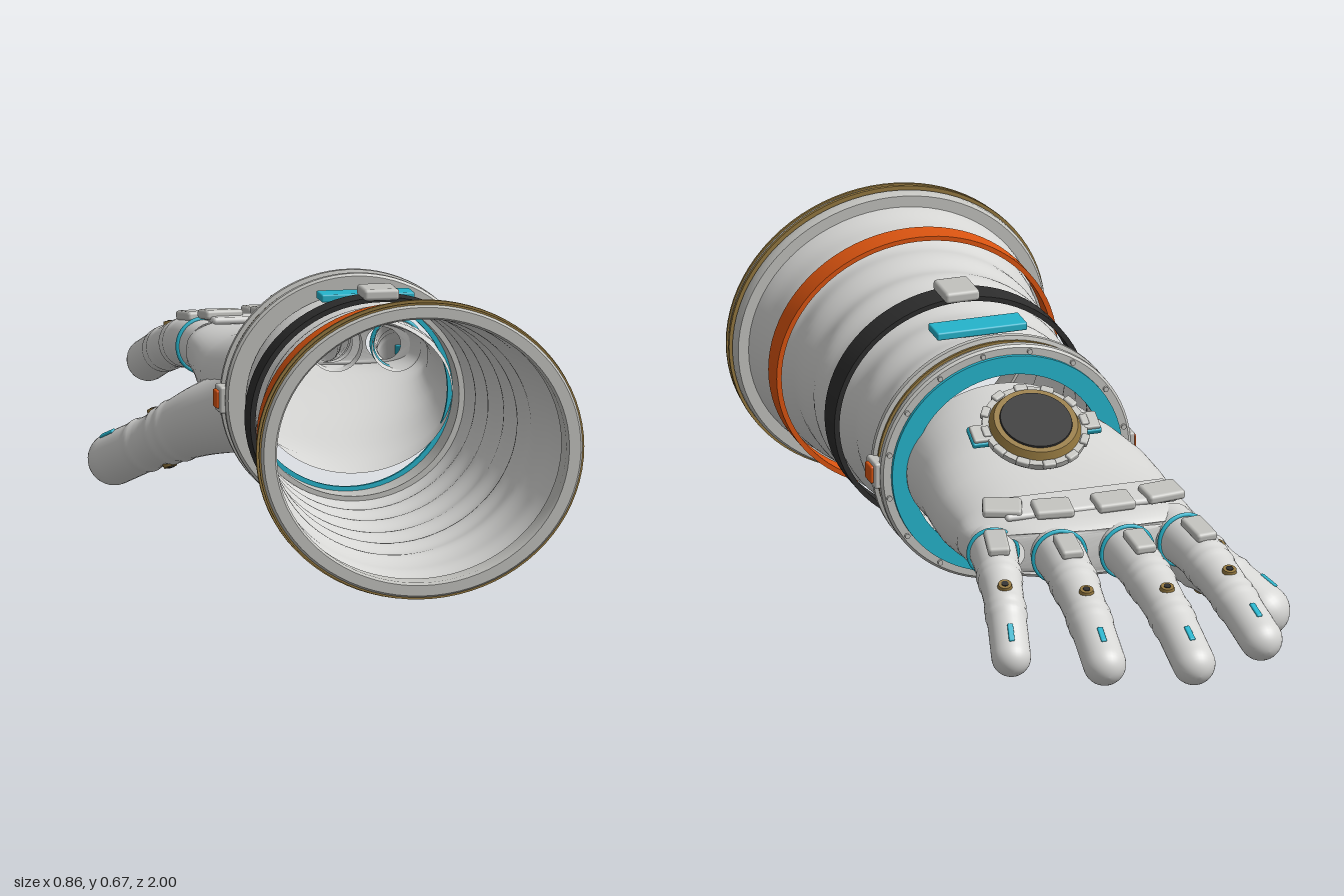
import * as THREE from 'three';
import { toCreasedNormals } from 'three/addons/utils/BufferGeometryUtils.js';
import { RoundedBoxGeometry } from 'three/addons/geometries/RoundedBoxGeometry.js';

const CX = 0.062, CY = 0.34; // axis of the sleeve
const V = (x, y, z) => new THREE.Vector3(x, y, z);

function material(name, color, side = THREE.FrontSide) {
  const m = new THREE.MeshStandardMaterial({ color, side });
  m.name = name;
  return m;
}

// Skin a list of closed loops; each loop is an array of Vector3
function loft(loops) {
  const n = loops[0].length, pos = [], idx = [];
  loops.forEach(l => l.forEach(p => pos.push(p.x, p.y, p.z)));
  for (let i = 0; i < loops.length - 1; i++) for (let j = 0; j < n; j++) {
    const a = i * n + j, b = i * n + (j + 1) % n;
    idx.push(a, b, a + n, b, b + n, a + n);
  }
  const g = new THREE.BufferGeometry();
  g.setAttribute('position', new THREE.Float32BufferAttribute(pos, 3));
  g.setIndex(idx);
  g.computeVertexNormals();
  return g;
}

// Rounded outline in the xy plane, running clockwise seen from +z
function outline(z, x0, x1, y0, y1, power, n = 64) {
  const e = 2 / power, s = v => Math.sign(v) * Math.abs(v) ** e;
  return Array.from({ length: n }, (_, i) => {
    const a = i / n * Math.PI * 2;
    return V((x0 + x1) / 2 + (x1 - x0) / 2 * s(Math.cos(a)), (y0 + y1) / 2 - (y1 - y0) / 2 * s(Math.sin(a)), z);
  });
}

export function createModel() {
  const root = new THREE.Group();
  root.name = 'spaceGlove';
  const fabric = material('white fabric', 0xd6d6d4, THREE.DoubleSide);
  const metal = material('light grey metal', 0xc2c2be);
  const orange = material('orange', 0xdb5410);
  const black = material('black strap', 0x2d2d2d);
  const cyan = material('cyan', 0x25b4cc);
  const bronze = material('bronze', 0x94783f);

  const add = (name, geo, mat, x = 0, y = 0, z = 0, parent = root) => {
    const m = new THREE.Mesh(geo, mat);
    m.name = name;
    m.position.set(x, y, z);
    parent.add(m);
    return m;
  };
  const box = (w, h, d, r = 0.008) => new RoundedBoxGeometry(w, h, d, 2, r);

  // Elliptical band round the sleeve; profile of [radius fraction, z], anticlockwise
  const band = (name, mat, rx, ry, profile) => {
    const pts = [...profile, profile[0]].map(p => new THREE.Vector2(...p));
    const g = new THREE.LatheGeometry(pts, 80).rotateX(Math.PI / 2).scale(rx, ry, 1);
    return add(name, toCreasedNormals(g, 0.6), mat, CX, CY);
  };
  const flat = (inner, z0, z1) => [[inner, z0], [1, z0], [1, z1], [inner, z1]];

  // Sleeve with soft wrinkles: rows of z, half width, half height
  const rows = [[0.94, 0.333, 0.297], [0.8, 0.308, 0.281], [0.7, 0.287, 0.267], [0.6, 0.285, 0.262],
    [0.5, 0.275, 0.255], [0.4, 0.262, 0.246], [0.3, 0.255, 0.24], [0.15, 0.247, 0.234]];
  const sleeve = [];
  for (let i = 0; i <= 70; i++) {
    const z = 0.94 - 0.79 * i / 70;
    const k = Math.max(0, rows.findIndex(r => r[0] <= z + 1e-6) - 1);
    const a = rows[k], b = rows[k + 1], t = (a[0] - z) / (a[0] - b[0]);
    const rx = a[1] + (b[1] - a[1]) * t, ry = a[2] + (b[2] - a[2]) * t;
    sleeve.push(outline(z, CX - rx, CX + rx, CY - ry, CY + ry, 2, 72).map((p, j) => {
      const ang = j / 72 * Math.PI * 2;
      const w = 1 + 0.017 * Math.sin(z * 56 + 0.7 * Math.sin(ang * 2)) * (z < 0.78 ? 1 : 0.35);
      return V(CX + (p.x - CX) * w, CY + (p.y - CY) * w, z);
    }));
  }
  add('sleeve', loft(sleeve), fabric);

  // Cuff ring at the open end
  band('cuffRing', metal, 0.368, 0.333, [[0.885, 0.93], [0.97, 0.93], [0.985, 0.94], [0.985, 0.955], [0.965, 0.96],
    [0.965, 0.97], [0.985, 0.975], [0.985, 0.99], [0.97, 1], [0.9, 1], [0.885, 0.99]]);
  band('cuffTrim', bronze, 0.368, 0.335, flat(0.96, 0.961, 0.969));
  band('cuffEdgeTrim', bronze, 0.366, 0.332, flat(0.97, 0.985, 0.991));

  // Straps
  band('orangeBand', orange, 0.327, 0.296, flat(0.965, 0.75, 0.81));
  band('blackStrap', black, 0.295, 0.271, flat(0.96, 0.44, 0.51));
  add('strapBuckle', box(0.08, 0.026, 0.095), metal, CX, 0.617, 0.472);
  add('namePlate', box(0.21, 0.018, 0.068, 0.004), cyan, CX, 0.587, 0.322);

  // Wrist lock ring
  band('wristRing', metal, 0.292, 0.277, [[0.8, 0.122], [0.98, 0.122], [1, 0.127], [1, 0.14], [0.95, 0.144],
    [0.95, 0.178], [1, 0.182], [1, 0.195], [0.98, 0.2], [0.8, 0.2]]);
  for (const z of [0.148, 0.17]) band('wristTrim', bronze, 0.284, 0.269, flat(0.95, z, z + 0.006));
  band('wristSeal', cyan, 0.268, 0.255, flat(0.83, 0.113, 0.123));
  for (let i = 0; i < 16; i++) {
    const a = (i + 0.5) / 16 * Math.PI * 2;
    add('wristBolt', new THREE.CylinderGeometry(0.006, 0.006, 0.008, 10).rotateX(Math.PI / 2), metal,
      CX + 0.278 * Math.cos(a), CY + 0.263 * Math.sin(a), 0.12);
  }
  for (const s of [-1, 1]) {
    add('latchFrame', box(0.03, 0.06, 0.064, 0.005), metal, CX + s * 0.288, CY, 0.161);
    add('latchButton', box(0.02, 0.04, 0.042, 0.004), orange, CX + s * 0.3, CY, 0.161);
  }

  // Hand: rows of z, x range, y range, squareness; the knuckle end curves back at the sides
  const bend = p => {
    const w = THREE.MathUtils.clamp((-p.z - 0.25) / 0.2, 0, 1);
    p.z += w * (p.x - 0.02) ** 2;
    return p;
  };
  const palm = [[0.17, -0.15, 0.285, 0.165, 0.51, 2], [0.1, -0.165, 0.3, 0.185, 0.506, 2.1], [0, -0.188, 0.305, 0.2, 0.5, 2.2],
    [-0.08, -0.212, 0.312, 0.21, 0.48, 2.3], [-0.16, -0.22, 0.316, 0.222, 0.458, 2.4], [-0.24, -0.215, 0.316, 0.24, 0.446, 2.5],
    [-0.32, -0.21, 0.317, 0.264, 0.438, 2.7], [-0.4, -0.208, 0.325, 0.283, 0.432, 3], [-0.45, -0.205, 0.325, 0.29, 0.428, 3.2],
    [-0.475, -0.195, 0.315, 0.298, 0.42, 3.2], [-0.488, -0.18, 0.3, 0.308, 0.41, 3.2]]
    .map(r => outline(...r).map(bend));
  add('palm', loft(palm), fabric);

  // Knuckle wall with openings into the fingers
  const wall = new THREE.Shape(outline(0, -0.18, 0.3, 0.308, 0.41, 3.2).map(p => new THREE.Vector2(p.x, p.y)));
  for (const [x, r] of [[-0.125, 0.036], [-0.01, 0.045], [0.135, 0.045], [0.245, 0.036]]) {
    wall.holes.push(new THREE.Path().absarc(x, 0.359, r, 0, Math.PI * 2));
  }
  const wallGeo = new THREE.ShapeGeometry(wall, 24), wp = wallGeo.attributes.position;
  for (let i = 0; i < wp.count; i++) wp.setZ(i, bend(V(wp.getX(i), 0, -0.488)).z);
  wallGeo.computeVertexNormals();
  add('knuckleWall', wallGeo, fabric);

  // Padded finger along a curve, with raised joint rolls and a round tip
  const digit = (name, points, r0, r1, joints) => {
    const g = new THREE.Group();
    g.name = name;
    root.add(g);
    const curve = new THREE.CatmullRomCurve3(points);
    const radius = t => r0 + (r1 - r0) * Math.min(1, t * 1.5)
      + joints.reduce((s, j) => s + 0.0035 * Math.exp(-(((t - j) / 0.022) ** 2)), 0);
    const frame = t => {
      const dir = curve.getTangentAt(t), side = dir.clone().cross(V(0, 1, 0)).normalize();
      return { c: curve.getPointAt(t), dir, side, up: side.clone().cross(dir) };
    };
    const loop = (f, r, shift) => Array.from({ length: 32 }, (_, i) => {
      const a = i / 32 * Math.PI * 2;
      return f.c.clone().addScaledVector(f.dir, shift).addScaledVector(f.side, r * Math.cos(a)).addScaledVector(f.up, -r * Math.sin(a));
    });
    const loops = [];
    for (let i = 0; i <= 60; i++) loops.push(loop(frame(i / 60), radius(i / 60), 0));
    for (let i = 1; i <= 10; i++) {
      const a = i / 10 * Math.PI / 2;
      loops.push(loop(frame(1), Math.max(1e-4, r1 * Math.cos(a)), r1 * Math.sin(a)));
    }
    add(name + 'Skin', loft(loops), fabric, 0, 0, 0, g);
    // Fix a detail on the surface, rolled round the finger by an angle
    const place = (label, geo, mat, t, lift, roll = 0) => {
      const f = frame(t), m = add(label, geo, mat, 0, 0, 0, g);
      m.quaternion.setFromRotationMatrix(new THREE.Matrix4().makeBasis(f.side, f.up, f.dir.clone().negate()));
      m.rotateZ(roll);
      m.position.copy(f.c).add(V(0, radius(t) + lift, 0).applyQuaternion(m.quaternion));
    };
    const bolt = (t, roll = 0) => {
      place('bolt', new THREE.CylinderGeometry(0.015, 0.017, 0.01, 18), bronze, t, 0.001, roll);
      place('boltCore', new THREE.CylinderGeometry(0.008, 0.008, 0.006, 12), black, t, 0.005, roll);
    };
    return { place, bolt, radius };
  };

  // Four fingers: base x and z, tip, position of the cyan ring, radius
  const fingers = [['indexFinger', -0.143, -0.41, V(-0.2, 0.268, -0.88), 0.15, 0.06, 0.048],
    ['middleFinger', -0.01, -0.44, V(-0.02, 0.26, -0.952), 0.13, 0.06, 0.048],
    ['ringFinger', 0.135, -0.42, V(0.17, 0.262, -0.898), 0.14, 0.06, 0.048],
    ['littleFinger', 0.262, -0.37, V(0.336, 0.24, -0.742), 0.13, 0.055, 0.044]];
  for (const [name, x, z, tip, ringAt, r0, r1] of fingers) {
    const at = (k, y) => V(x + (tip.x - x) * k, y, z + (tip.z - z) * k);
    const f = digit(name, [at(0, 0.36), at(0.33, 0.354), at(0.7, 0.315), tip], r0, r1, [0.4, 0.46, 0.68, 0.74]);
    f.place('baseRing', new THREE.TorusGeometry(f.radius(ringAt) + 0.002, 0.005, 10, 48), cyan, ringAt, -f.radius(ringAt));
    f.place('fingerPad', box(0.05, 0.022, 0.095), metal, ringAt + 0.15, 0.004);
    f.bolt(0.62);
    f.place('fingerMark', box(0.013, 0.008, 0.045, 0.003), cyan, 0.91, 0);
    if (name === 'indexFinger') f.place('tipSensor', box(0.03, 0.01, 0.02, 0.004), cyan, 1, -0.007);
  }

  // Thumb
  const thumb = digit('thumb', [V(-0.13, 0.285, -0.05), V(-0.21, 0.245, -0.15), V(-0.295, 0.185, -0.265), V(-0.37, 0.126, -0.385)],
    0.098, 0.059, [0.5, 0.58, 0.75]);
  thumb.bolt(0.62);
  thumb.bolt(0.62, Math.PI);
  thumb.place('thumbMark', box(0.014, 0.008, 0.045, 0.003), cyan, 0.93, 0, 0.5);

  // Knuckle guard
  const guard = add('knuckleGuard', box(0.4, 0.016, 0.1), fabric, 0.04, 0.434, -0.368);
  guard.rotation.x = -0.06;
  for (const [x, z, turn] of [[-0.13, -0.392, 0.12], [-0.01, -0.412, 0.02], [0.13, -0.41, -0.1], [0.235, -0.372, -0.3]]) {
    const pad = add('knucklePad', box(0.088, 0.022, 0.07), metal, x, 0.442, z);
    pad.rotation.set(-0.1, turn, 0);
  }

  // Tilted round instrument on the back of the hand
  const dial = new THREE.Group();
  dial.name = 'dial';
  dial.position.set(0.073, 0.5, -0.105);
  dial.rotation.x = -0.46;
  root.add(dial);
  const disc = (name, mat, r0, r1, h, y) => add(name, new THREE.CylinderGeometry(r1, r0, h, 48), mat, 0, y, 0, dial);
  disc('dialBase', black, 0.09, 0.112, 0.03, -0.008);
  disc('dialPlate', metal, 0.118, 0.118, 0.014, 0.013);
  disc('dialBezel', bronze, 0.104, 0.094, 0.018, 0.028);
  disc('dialFace', black, 0.085, 0.08, 0.014, 0.034);
  for (let i = 0; i < 12; i++) {
    const a = i / 12 * Math.PI * 2;
    const lug = add('dialLug', box(0.018, 0.016, 0.03, 0.004), metal, 0.114 * Math.cos(a), 0.018, 0.114 * Math.sin(a), dial);
    lug.rotation.y = -a;
  }
  for (const s of [-1, 1]) {
    add('dialClipBase', box(0.044, 0.014, 0.056, 0.004), cyan, s * 0.128, 0.006, 0, dial);
    add('dialClip', box(0.038, 0.014, 0.048, 0.004), metal, s * 0.128, 0.014, 0, dial);
  }
  return root;
}
